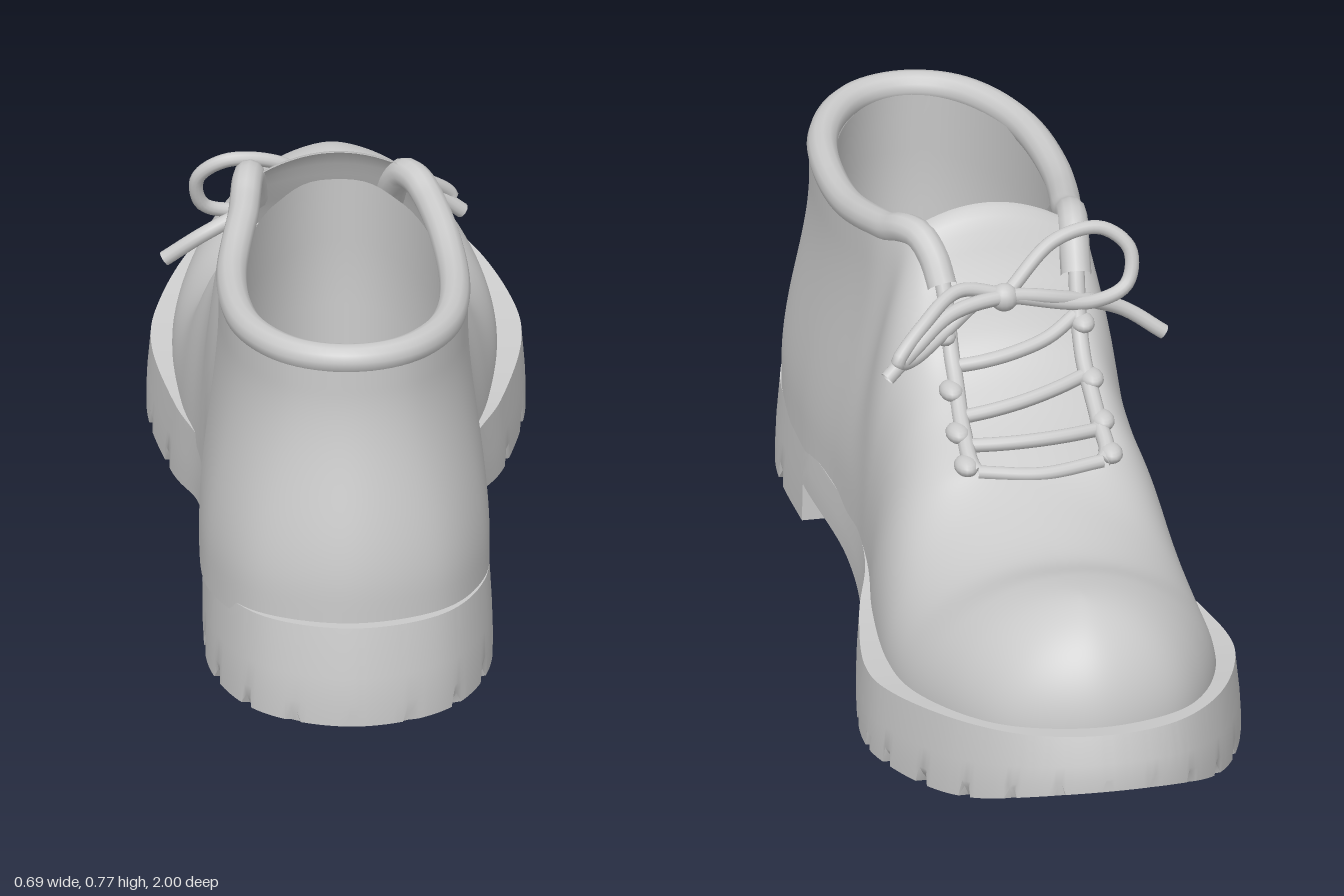
import * as THREE from 'three';
import { mergeVertices, toCreasedNormals } from 'three/addons/utils/BufferGeometryUtils.js';

const material = new THREE.MeshStandardMaterial({ color: 0xcccccc, side: THREE.DoubleSide });
const { lerp, smoothstep } = THREE.MathUtils;

// Smooth height profile from [z, y] pairs
function profile(pairs) {
  const f = new THREE.CubicInterpolant(pairs.map(p => p[0]), pairs.map(p => p[1]), 1);
  return z => f.evaluate(z)[0];
}
const HEEL_Z = 0.48;
const soleTop = profile([[-1, 0.215], [-0.8, 0.19], [-0.5, 0.15], [-0.2, 0.135], [0, 0.145], [0.5, 0.172], [1, 0.195]]);
const archBottom = profile([[-1, 0.11], [-0.85, 0.055], [-0.6, 0.02], [-0.3, 0], [-0.15, 0.005], [0, 0.03], [0.2, 0.065], [0.48, 0.085]]);
const soleBottom = z => (z > HEEL_Z ? 0.01 : archBottom(z));
const ridge = profile([[-0.95, 0.385], [-0.75, 0.395], [-0.65, 0.383], [-0.5, 0.35], [-0.35, 0.375], [-0.2, 0.435],
  [-0.1, 0.485], [0, 0.565], [0.06, 0.67], [0.12, 0.742], [0.2, 0.732], [0.4, 0.7], [0.65, 0.697], [0.9, 0.705]]);
const centreX = z => -0.02 * smoothstep(z, -0.8, 0.2);

const loop = pts => new THREE.CatmullRomCurve3(pts.map(([x, z]) => new THREE.Vector3(x, 0, z)), true, 'catmullrom');

// Half outlines, toe to heel: base x, base z, upper edge x, upper edge z
const half = [
  [0, -0.93, 0, -0.74], [0.14, -0.885, 0, -0.71], [0.225, -0.78, 0, -0.62], [0.283, -0.6, 0, -0.46],
  [0.295, -0.42, 0, -0.265], [0.278, -0.2, 0.115, -0.245], [0.255, -0.05, 0.125, -0.15], [0.245, 0.05, 0.12, -0.03],
  [0.24, 0.15, 0.13, 0.08], [0.245, 0.3, 0.19, 0.22], [0.261, 0.5, 0.225, 0.46], [0.25, 0.72, 0.205, 0.69],
  [0.168, 0.885, 0.122, 0.84], [0, 0.952, 0, 0.888]];
const full = [...half, ...half.slice(1, -1).reverse().map(([a, b, c, d]) => [-a, b, -c, d])];
const throatShift = x => (Math.abs(x) > 0.1 && Math.abs(x) < 0.135 ? -0.025 : 0);
const baseLoop = loop(full.map(p => [p[0], p[1]]));
const edgeLoop = loop(full.map(p => [p[2] + (p[3] < 0.2 ? throatShift(p[2]) : 0), p[3]]));
const soleLoop = loop([[0, -1], [0.14, -0.955], [0.25, -0.82], [0.325, -0.62], [0.34, -0.45], [0.295, -0.2], [0.24, 0],
  [0.225, 0.2], [0.245, 0.5], [0.235, 0.75], [0.15, 0.93], [-0.015, 1], [-0.18, 0.93], [-0.265, 0.75], [-0.275, 0.5],
  [-0.265, 0.2], [-0.27, 0], [-0.31, -0.2], [-0.345, -0.45], [-0.325, -0.62], [-0.25, -0.82], [-0.14, -0.955]]);

// Surface from fn(u, v): u runs along, v across
function grid(nu, nv, fn) {
  const pos = [], index = [];
  for (let j = 0; j <= nv; j++) for (let i = 0; i <= nu; i++) pos.push(...fn(i / nu, j / nv));
  for (let j = 0; j < nv; j++) for (let i = 0; i < nu; i++) {
    const a = j * (nu + 1) + i, b = a + nu + 1;
    index.push(a, b, a + 1, a + 1, b, b + 1);
  }
  let g = new THREE.BufferGeometry();
  g.setAttribute('position', new THREE.Float32BufferAttribute(pos, 3));
  g.setIndex(index);
  g = mergeVertices(g, 1e-5);
  g.computeVertexNormals();
  return g;
}

// Point on the upper: u around the shoe, v from sole to collar
function upperPoint(u, v) {
  const a = v * Math.PI / 2, rise = Math.sin(a);
  const b = baseLoop.getPoint(u), t = edgeLoop.getPoint(u);
  // Domed over the toe, drawn in above a rounded heel at the ankle
  const ankle = smoothstep(t.z, 0, 0.3);
  const dome = Math.pow(Math.max(Math.cos(a), 0), 0.88);
  const k = lerp(dome, 1 - smoothstep(rise, 0.12, 0.88), ankle);
  let x = lerp(t.x, b.x, k);
  x = u <= 0.5 ? Math.max(x, 0) : Math.min(x, 0);
  const z = lerp(t.z, b.z, k), y0 = soleTop(z) - 0.02;
  return [x + centreX(z), y0 + (ridge(z) - 0.025 * ankle - y0) * rise, z];
}

// Sole with raised arch, heel step and tread notches in the lower edge
function soleGeometry() {
  const n = 396;
  const rows = [[0, 0, 1], [0.92, 0, 1], [1, 0, 1], [1, 0.22, 1], [1, 0.5, 0.995], [1, 1, 0.978], [0.9, 1, 0.978], [0, 1, 0.978]];
  const g = grid(n, rows.length - 1, (u, v) => {
    const row = Math.round(v * (rows.length - 1)), [sx, h, taper] = rows[row];
    const p = soleLoop.getPoint(u % 1);
    if (Math.abs(p.z - HEEL_Z) < 0.02) p.z = HEEL_Z + (p.z > HEEL_Z ? 0.002 : -0.002);
    const treaded = p.z < -0.12 || p.z > HEEL_Z + 0.06;
    const cut = row === 2 && treaded && Math.round(u * n) % 11 < 2;
    const z = p.z * taper, c = centreX(z);
    const y = lerp(soleBottom(p.z), soleTop(z), h) + (cut ? 0.02 : 0);
    return [c + (p.x - c) * sx * taper * (cut ? 0.98 : 1), y, z];
  });
  return toCreasedNormals(g, 0.6);
}

function tube(points, radius, segments = 60) {
  const curve = new THREE.CatmullRomCurve3(points.map(p => new THREE.Vector3(...p)));
  return new THREE.TubeGeometry(curve, segments, radius, 12, false);
}

export function createModel() {
  const shoe = new THREE.Group();
  shoe.name = 'ankleShoe';
  const add = (name, geometry) => {
    const m = new THREE.Mesh(geometry, material);
    m.name = name;
    shoe.add(m);
    return m;
  };

  add('sole', soleGeometry());

  // Upper with rounded toe and open ankle
  add('upper', grid(260, 40, upperPoint));

  // Padded collar, rolled slightly inwards and fading into the throat edges
  const edge = (from, to) => Array.from({ length: 41 }, (_, i) => upperPoint(lerp(from, to, i / 40) / full.length, 1));
  const collarPath = edge(7.8, 18.2).map(([x, , z]) => {
    const c = centreX(z), inset = smoothstep(z, 0.04, 0.25);
    return [c + (x - c) * lerp(1, 0.895, inset), ridge(z) - lerp(0.014, 0.027, inset), lerp(z, lerp(0.46, z, 0.95), inset)];
  });
  add('collar', tube(collarPath, 0.028, 120));

  // Inner lining and insole
  add('lining', toCreasedNormals(grid(72, 9, (u, v) => {
    const a = u * Math.PI * 2, floor = v > 0.95;
    const s = floor ? 0 : 1 + 0.04 * Math.min(v * 3, 1);
    const z = 0.485 - 0.35 * Math.cos(a) * s;
    const y = lerp(ridge(0.485 - 0.35 * Math.cos(a)) - 0.03, 0.22, Math.min(v / 0.88, 1));
    return [centreX(z) + 0.186 * Math.sin(a) * s, y, z];
  }), 0.8));

  // Tongue
  const throatX = z => centreX(z) - 0.025 * (1 - smoothstep(z, 0, 0.12));
  add('tongue', grid(16, 30, (u, v) => {
    const z = lerp(-0.275, 0.14, v), x = lerp(-1, 1, u) * 0.135, lip = smoothstep(z, 0.06, 0.13);
    return [x + throatX(z), ridge(z) - 0.012 + 0.036 * lip - (1.1 + lip) * x * x, z];
  }));

  // Throat edges with raised eyelets
  for (const [side, from, to] of [['left', 5, 8.2], ['right', 21, 17.8]]) {
    add(side + 'ThroatEdge', tube(edge(from, to), 0.015));
    for (const t of [0.06, 0.28, 0.5, 0.72]) {
      const [x, y, z] = upperPoint(lerp(from, to, t) / full.length, 0.97);
      const bump = add(side + 'Eyelet', new THREE.SphereGeometry(0.022, 14, 10));
      bump.position.set(x, y, z);
      bump.scale.set(1, 0.8, 1.5);
    }
  }
  const [l, r] = [5, 21].map(i => upperPoint(i / full.length, 1));
  add('throatFront', tube([l, [throatX(-0.26), ridge(-0.26), -0.262], r], 0.013, 30));

  // Laces crossing the throat
  [[-0.19, -0.2], [-0.08, -0.14], [0, -0.05]].forEach(([z0, z1], i) => {
    const pts = [-1, -0.5, 0, 0.5, 1].map(t => {
      const z = lerp(z0, z1, (t + 1) / 2) + 0.02 * t * t;
      return [t * 0.125 + throatX(z), ridge(z) + 0.008 - 0.012 * t * t, z];
    });
    add('crossLace' + (i + 1), tube(pts, 0.013, 24));
  });

  // Bow: free ends, loops and knot
  add('laceEnds', tube([[-0.33, 0.525, 0.045], [-0.25, 0.58, 0.05], [-0.12, 0.63, 0.01], [-0.03, 0.645, 0],
    [0.08, 0.635, -0.03], [0.16, 0.595, -0.08], [0.215, 0.55, -0.1]], 0.014));
  add('rightLoop', tube([[-0.03, 0.645, 0.01], [-0.13, 0.72, 0.06], [-0.22, 0.73, 0.075], [-0.27, 0.69, 0.06],
    [-0.26, 0.63, 0.04], [-0.19, 0.61, 0.02], [-0.03, 0.645, 0]], 0.013));
  add('leftLoop', tube([[-0.03, 0.645, 0.01], [0.06, 0.665, 0], [0.14, 0.63, -0.06], [0.195, 0.58, -0.1],
    [0.165, 0.57, -0.075], [0.09, 0.59, -0.01], [0.02, 0.635, 0.02]], 0.013));
  const knot = add('knot', new THREE.SphereGeometry(0.026, 16, 12));
  knot.position.set(-0.025, 0.642, 0.005);
  return shoe;
}
